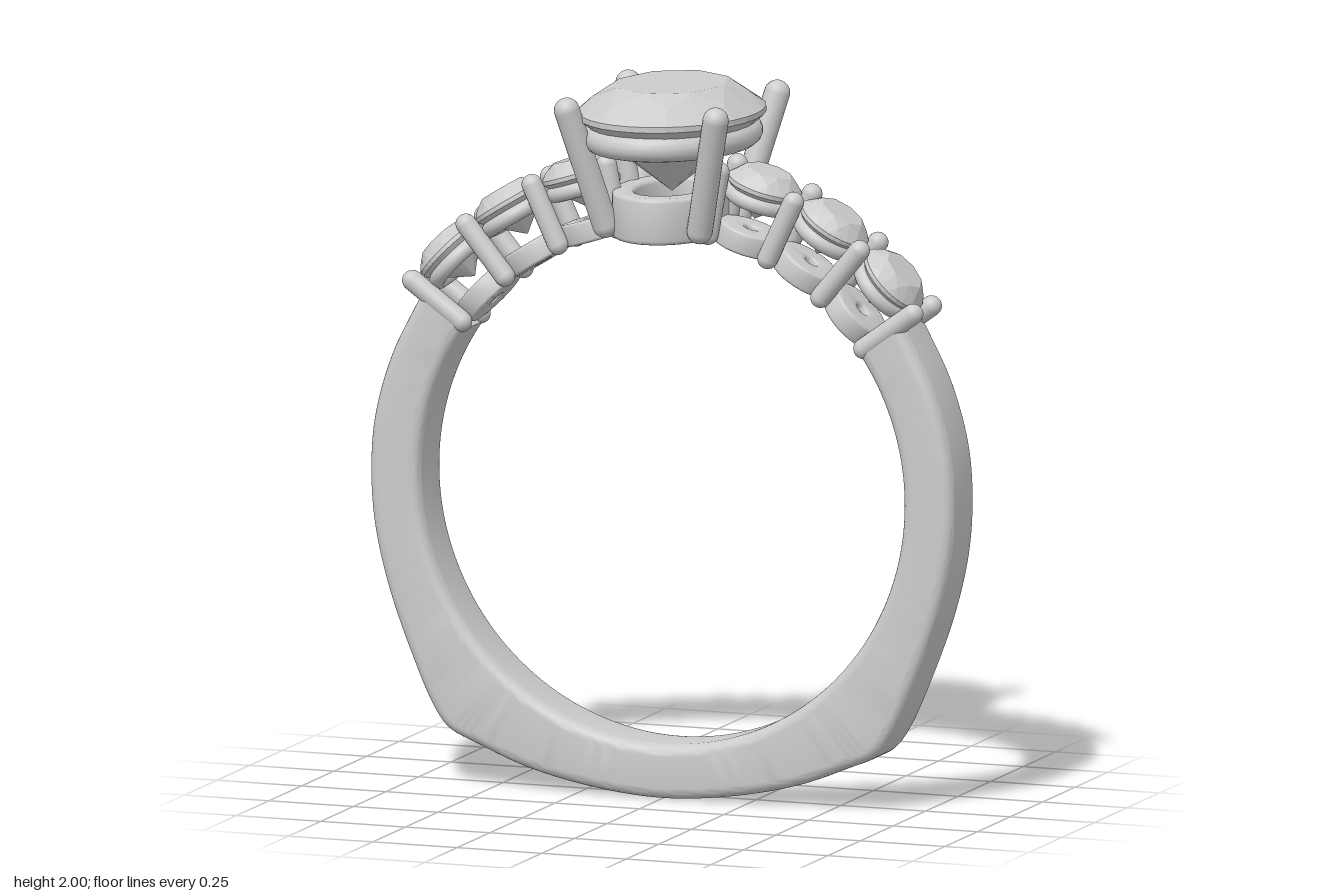
import * as THREE from 'three';
import { toCreasedNormals } from 'three/addons/utils/BufferGeometryUtils.js';
import { ConvexGeometry } from 'three/addons/geometries/ConvexGeometry.js';

const metal = new THREE.MeshStandardMaterial({ color: 0xcccccc });
const gemMat = new THREE.MeshStandardMaterial({ color: 0xcccccc, flatShading: true });
const CENTER = 0.87; // height of the finger hole's centre
const INNER = 0.715; // finger hole radius
const V = (x, y, z) => new THREE.Vector3(x, y, z);

function add(parent, name, geo, mat = metal) {
  const mesh = new THREE.Mesh(geo, mat);
  mesh.name = name;
  parent.add(mesh);
  return mesh;
}

// Round-ended wire between two points
function wire(parent, name, a, b, radius) {
  const d = b.clone().sub(a);
  const mesh = add(parent, name, new THREE.CapsuleGeometry(radius, d.length(), 8, 20));
  mesh.position.copy(a).add(b).multiplyScalar(0.5);
  mesh.quaternion.setFromUnitVectors(V(0, 1, 0), d.normalize());
}

// Brilliant-cut stone, girdle at y = 0, semi-axes a (x) and b (z)
function gem(a, b, crown, pavilion, girdle) {
  const pts = [];
  const ring = (n, s, y, turn) => {
    for (let i = 0; i < n; i++) {
      const t = ((i + turn) / n) * Math.PI * 2;
      pts.push(V(Math.cos(t) * a * s, y, Math.sin(t) * b * s));
    }
  };
  ring(8, 0.62, crown, 0);
  ring(8, 0.84, crown * 0.58, 0.5);
  ring(32, 1, girdle / 2, 0);
  ring(32, 1, -girdle / 2, 0);
  ring(8, 0.45, -pavilion * 0.6, 0.5);
  pts.push(V(0, -pavilion, 0));
  return new ConvexGeometry(pts);
}

// Oval ring of round wire lying flat
function ovalRing(a, b, tube) {
  const pts = [];
  for (let i = 0; i < 32; i++) {
    const t = (i / 32) * Math.PI * 2;
    pts.push(V(Math.cos(t) * a, 0, Math.sin(t) * b));
  }
  return new THREE.TubeGeometry(new THREE.CatmullRomCurve3(pts, true), 72, tube, 14, true);
}

// Oval cup with a hole, standing from y0 to y1
function cup(a, b, holeA, holeB, y0, y1, bevel) {
  const shape = new THREE.Shape().absellipse(0, 0, a - bevel, b - bevel, 0, Math.PI * 2);
  shape.holes.push(new THREE.Path().absellipse(0, 0, holeA + bevel, holeB + bevel, 0, Math.PI * 2, true));
  const geo = new THREE.ExtrudeGeometry(shape, {
    depth: y1 - y0 - 2 * bevel, bevelEnabled: true, bevelSize: bevel,
    bevelThickness: bevel, bevelSegments: 3, curveSegments: 24,
  });
  geo.rotateX(-Math.PI / 2).translate(0, y0 + bevel, 0);
  return toCreasedNormals(geo, 0.6);
}

// Shank: rounded section swept between the round hole and the shaped outline
function shankGeometry() {
  const half = [[0.715, 1.37], [0.8, 1.2], [0.85, 1.03], [0.863, 0.88], [0.852, 0.72], [0.812, 0.55],
    [0.742, 0.36], [0.675, 0.215], [0.632, 0.16], [0.55, 0.122], [0.4, 0.064], [0.2, 0.02]];
  const mirrored = half.map(([x, y]) => [-x, y]).reverse();
  const curve = new THREE.CatmullRomCurve3(
    [...half, [0, 0.003], ...mirrored].map(([x, y]) => V(x, y, 0)), false, 'centripetal');
  const N = 180, HALF_W = 0.095, C = 0.032, K = 6;
  const M = 4 * (K + 1);
  const pos = [], idx = [];
  curve.getPoints(N).forEach((p) => {
    const dy = p.y - CENTER;
    const outer = Math.hypot(p.x, dy);
    const ux = p.x / outer, uy = dy / outer;
    const mid = (outer + INNER) / 2, hr = (outer - INNER) / 2;
    for (let q = 0; q < 4; q++) {
      const sr = q === 0 || q === 3 ? 1 : -1, sz = q < 2 ? 1 : -1;
      for (let k = 0; k <= K; k++) {
        const t = (q + k / K) * Math.PI / 2;
        const r = mid + sr * (hr - C) + C * Math.cos(t);
        pos.push(ux * r, CENTER + uy * r, sz * (HALF_W - C) + C * Math.sin(t));
      }
    }
  });
  for (let i = 0; i < N; i++) {
    for (let j = 0; j < M; j++) {
      const a = i * M + j, b = i * M + (j + 1) % M;
      idx.push(a, b, b + M, a, b + M, a + M);
    }
  }
  // End caps
  const e = N * M;
  for (let j = 1; j < M - 1; j++) idx.push(0, j + 1, j, e, e + j, e + j + 1);
  const geo = new THREE.BufferGeometry();
  geo.setAttribute('position', new THREE.Float32BufferAttribute(pos, 3));
  geo.setIndex(idx);
  return toCreasedNormals(geo, 0.6);
}

// Group whose local y points outward from the finger hole at an angle
function station(parent, name, degrees) {
  const g = new THREE.Group();
  g.name = name;
  g.position.y = CENTER;
  g.rotation.z = THREE.MathUtils.degToRad(degrees - 90);
  parent.add(g);
  return g;
}

export function createModel() {
  const ring = new THREE.Group();
  ring.name = 'ring';
  add(ring, 'shank', shankGeometry());

  // Shoulders: three small stones a side, held by shared prong pairs
  const smallGem = gem(0.106, 0.106, 0.045, 0.1, 0.012);
  const smallCup = cup(0.094, 0.088, 0.02, 0.02, INNER - 0.003, 0.775, 0.008);
  const smallRing = ovalRing(0.085, 0.085, 0.022);
  const STEP = 14.5, START = 36;
  for (const side of [1, -1]) {
    const angle = (a) => (side > 0 ? a : 180 - a);
    for (let i = 0; i < 3; i++) {
      const s = station(ring, 'sideStoneSetting', angle(START + STEP * (i + 0.5)));
      add(s, 'sideStone', smallGem, gemMat).position.y = 0.9;
      add(s, 'sideStoneRing', smallRing).position.y = 0.862;
      add(s, 'sideStoneCup', smallCup);
    }
    for (let i = 0; i < 4; i++) {
      const p = station(ring, 'sideProngPair', angle(START + STEP * i));
      for (const z of [-0.071, 0.071]) {
        wire(p, 'sideProng', V(0, 0.735, z), V(0, 0.915, z), 0.029);
      }
    }
  }

  // Head: oval centre stone in a four-prong basket
  const head = new THREE.Group();
  head.name = 'head';
  ring.add(head);
  add(head, 'centerStone', gem(0.25, 0.325, 0.08, 0.225, 0.016), gemMat).position.y = 1.92;
  add(head, 'galleryRing', ovalRing(0.205, 0.278, 0.036)).position.y = 1.858;
  add(head, 'headCup', cup(0.155, 0.225, 0.095, 0.155, 1.578, 1.708, 0.012));
  for (const x of [-1, 1]) {
    for (const z of [-1, 1]) {
      wire(head, 'headProng', V(x * 0.14, 1.615, z * 0.15), V(x * 0.22, 1.945, z * 0.236), 0.036);
    }
  }
  return ring;
}
